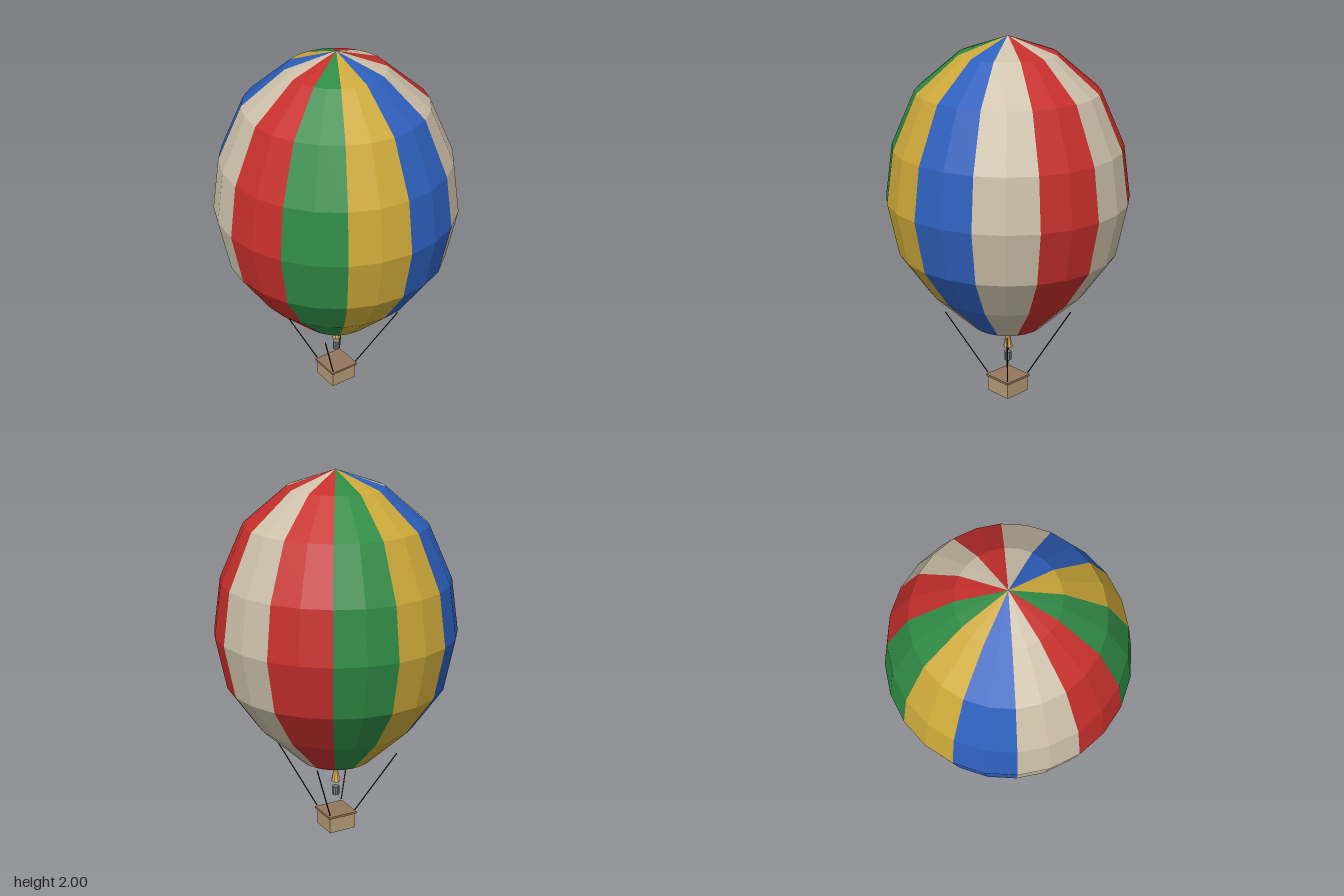
import * as THREE from 'three';

const paint = (color, side = THREE.FrontSide) =>
  new THREE.MeshStandardMaterial({ color, side, flatShading: true });

export function createModel() {
  const model = new THREE.Group();
  model.name = 'hotAirBalloon';

  const add = (parent, name, geometry, material, y = 0) => {
    const mesh = new THREE.Mesh(geometry, material);
    mesh.name = name;
    mesh.position.y = y;
    parent.add(mesh);
    return mesh;
  };

  // Envelope: twelve gores, each two facets wide, in five repeating colours
  const envelope = new THREE.Group();
  envelope.name = 'envelope';
  model.add(envelope);
  const profile = [
    [0.197, 0.42], [0.43, 0.64], [0.587, 0.865], [0.645, 1.15],
    [0.607, 1.43], [0.48, 1.72], [0.257, 1.91], [0, 2],
  ].map(([r, y]) => new THREE.Vector2(r, y));
  const cloth = [0xc62f2c, 0xcdc1aa, 0x2e60bd, 0xcda93a, 0x2f8a45]
    .map((c) => paint(c, THREE.DoubleSide));
  const step = Math.PI / 6;
  for (let i = 0; i < 12; i++) {
    const gore = new THREE.LatheGeometry(profile, 2, (2 - i) * step, step);
    add(envelope, 'gore' + (i + 1), gore, cloth[i % cloth.length]);
  }

  // Basket with a slightly wider rim
  const basket = new THREE.Group();
  basket.name = 'basket';
  model.add(basket);
  add(basket, 'basketBody', new THREE.BoxGeometry(0.156, 0.09, 0.156), paint(0xb59a76), 0.045);
  add(basket, 'basketRim', new THREE.BoxGeometry(0.17, 0.012, 0.17), paint(0x94765c), 0.092);

  // Burner and flame above the basket
  add(model, 'burner', new THREE.CylinderGeometry(0.02, 0.02, 0.05, 10), paint(0x777b80), 0.215);
  add(model, 'flame', new THREE.ConeGeometry(0.026, 0.13, 8), paint(0xdcae60), 0.335);

  // Four ropes from the basket corners up to the envelope
  const ropeMaterial = paint(0x2a2622);
  const up = new THREE.Vector3(0, 1, 0);
  for (const sx of [1, -1]) for (const sz of [1, -1]) {
    const low = new THREE.Vector3(sx * 0.078, 0.108, sz * 0.078);
    const high = new THREE.Vector3(sx * 0.243, 0.475, sz * 0.243);
    const along = high.clone().sub(low);
    const rope = add(model, (sz > 0 ? 'front' : 'back') + (sx > 0 ? 'Left' : 'Right') + 'Rope',
      new THREE.CylinderGeometry(0.0035, 0.0035, along.length(), 6), ropeMaterial);
    rope.position.copy(low).add(high).multiplyScalar(0.5);
    rope.quaternion.setFromUnitVectors(up, along.normalize());
  }

  return model;
}
